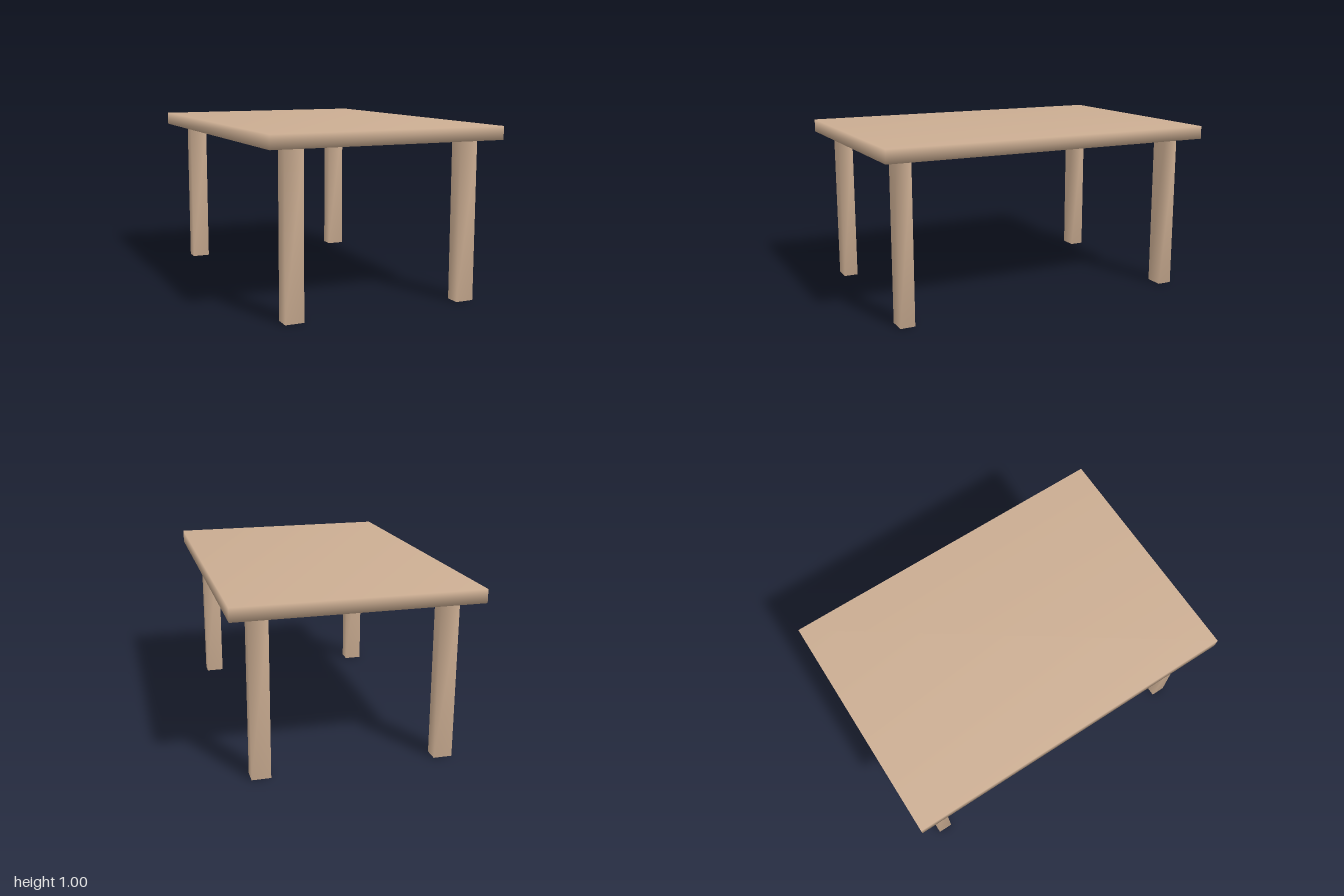
import * as THREE from 'three';
import { mergeVertices } from 'three/addons/utils/BufferGeometryUtils.js';

// Box with shared corners, so its normals are smooth across the edges
function smoothBox(width, height, depth) {
  const box = new THREE.BoxGeometry(width, height, depth);
  box.deleteAttribute('normal');
  box.deleteAttribute('uv');
  const geometry = mergeVertices(box);
  geometry.computeVertexNormals();
  return geometry;
}

export function createModel() {
  const table = new THREE.Group();
  table.name = 'table';

  const wood = new THREE.MeshStandardMaterial({ color: 0xcbad92 });
  wood.name = 'light wood';

  const topY = 1.003;
  const undersideY = 0.926;

  // Table top
  const top = new THREE.Mesh(smoothBox(1.382, topY - undersideY, 2), wood);
  top.name = 'tableTop';
  top.position.y = (topY + undersideY) / 2;
  table.add(top);

  // Four legs, set in from the corners
  const legGeometry = smoothBox(0.108, undersideY, 0.086);
  for (const [side, x] of [['Left', 0.527], ['Right', -0.524]]) {
    for (const [end, z] of [['front', 0.865], ['back', -0.86]]) {
      const leg = new THREE.Mesh(legGeometry, wood);
      leg.name = `${end}${side}Leg`;
      leg.position.set(x, undersideY / 2, z);
      table.add(leg);
    }
  }

  return table;
}
